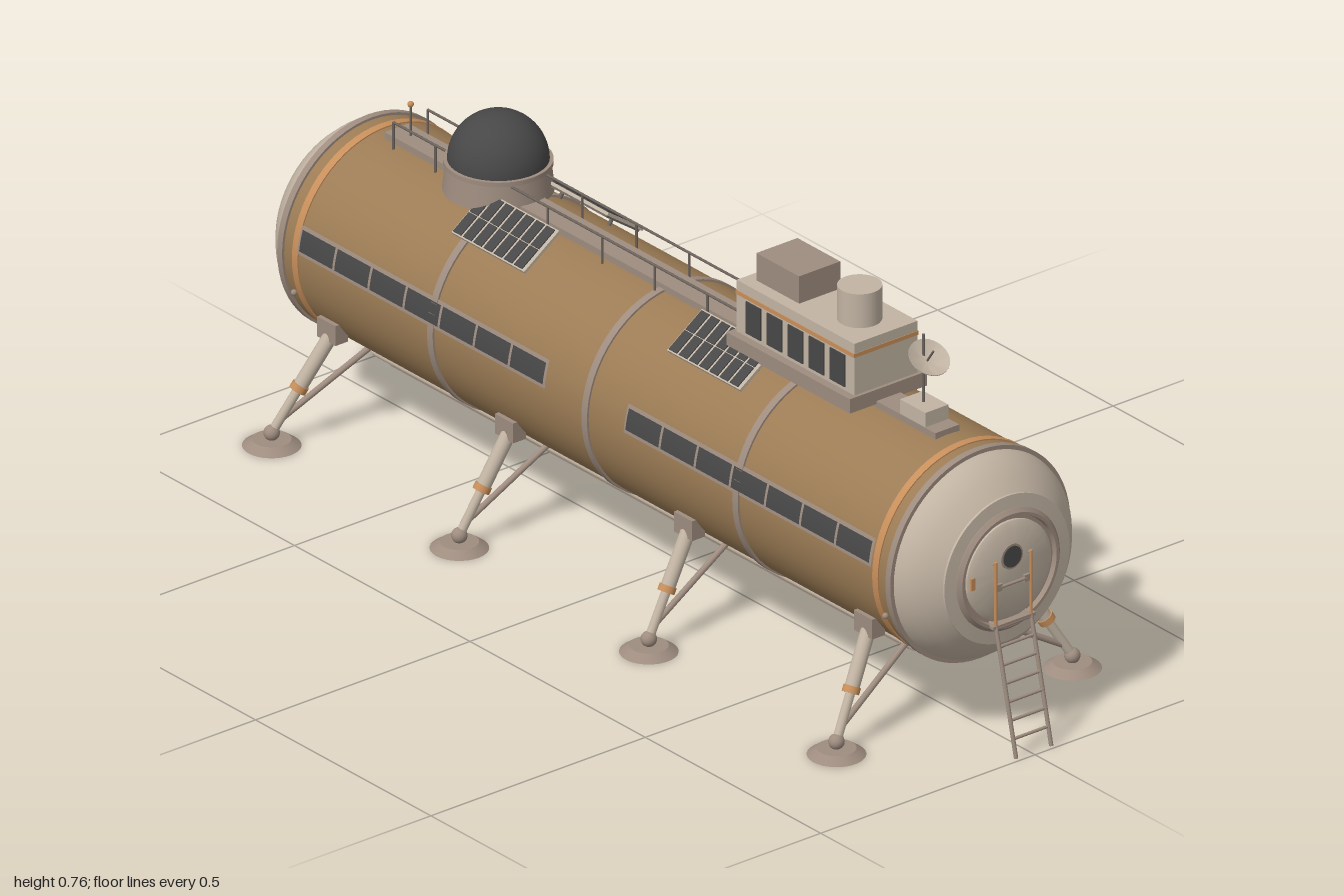
import * as THREE from 'three';
import { toCreasedNormals } from 'three/addons/utils/BufferGeometryUtils.js';

const mat = (name, color) => {
  const m = new THREE.MeshStandardMaterial({ color });
  m.name = name;
  return m;
};

export function createModel() {
  const hull = mat('hull bronze', 0x9c7c55);
  const pale = mat('pale panel', 0xc2b4a3);
  const trim = mat('trim grey', 0x9e8c7f);
  const orange = mat('orange accent', 0xc88f5b);
  const glass = mat('dark glass', 0x484747);
  const rail = mat('rail metal', 0x6d645d);
  const model = new THREE.Group();
  model.name = 'habitatModule';
  const CY = 0.345, CX = -0.03, R = 0.205;

  const add = (parent, name, geo, m, x = 0, y = 0, z = 0) => {
    const mesh = new THREE.Mesh(geo, m);
    mesh.name = name;
    mesh.position.set(x, y, z);
    parent.add(mesh);
    return mesh;
  };
  const group = (name, parent = model) => {
    const g = new THREE.Group();
    g.name = name;
    parent.add(g);
    return g;
  };
  // Box given by its ranges
  const box = (p, name, m, x0, x1, y0, y1, z0, z1) =>
    add(p, name, new THREE.BoxGeometry(x1 - x0, y1 - y0, z1 - z0), m, (x0 + x1) / 2, (y0 + y1) / 2, (z0 + z1) / 2);
  const cyl = (p, name, m, r0, r1, y0, y1, x, z, n = 32) =>
    add(p, name, new THREE.CylinderGeometry(r1, r0, y1 - y0, n), m, x, (y0 + y1) / 2, z);
  // Round bar between two points
  const rod = (p, name, m, a, b, r0, r1 = r0, n = 12) => {
    const A = new THREE.Vector3(...a), B = new THREE.Vector3(...b), d = B.clone().sub(A);
    const mesh = add(p, name, new THREE.CylinderGeometry(r1, r0, d.length(), n), m);
    mesh.position.copy(A).lerp(B, 0.5);
    mesh.quaternion.setFromUnitVectors(new THREE.Vector3(0, 1, 0), d.normalize());
    return mesh;
  };
  // Profile of [radius, distance] turned about y
  const lathe = (pts, n = 64) =>
    toCreasedNormals(new THREE.LatheGeometry(pts.map(p => new THREE.Vector2(...p)), n), 0.6);
  // Drum along x
  const drum = (p, name, m, r, x0, x1) => rod(p, name, m, [x0, CY, 0], [x1, CY, 0], r, r, 64);

  // Pressure hull, frames and accent bands
  const body = group('body');
  drum(body, 'hullCylinder', hull, R, CX - 0.87, CX + 0.87);
  for (const x of [-0.47, CX, 0.4]) drum(body, 'hullFrame', trim, 0.209, x - 0.008, x + 0.008);
  for (const s of [-1, 1]) {
    drum(body, 'endFlange', trim, 0.21, CX + s * 0.867 - 0.007, CX + s * 0.867 + 0.007);
    drum(body, 'accentBand', orange, 0.2075, CX + s * 0.827 - 0.008, CX + s * 0.827 + 0.008);
    for (const z of [-1, 1])
      add(body, 'markerLight', new THREE.SphereGeometry(0.006, 12, 8), trim, CX + s * 0.843, 0.27, z * 0.196);
  }

  // Curved window strips on both flanks
  const windows = group('windowStrips');
  const patch = (name, m, r, x0, x1, elev, span, side) => {
    const centre = side > 0 ? -elev : Math.PI + elev;
    const g = new THREE.CylinderGeometry(r, r, x1 - x0, 8, 1, true, centre - span / 2, span);
    add(windows, name, g.rotateZ(-Math.PI / 2), m, (x0 + x1) / 2, CY, 0);
  };
  for (const side of [-1, 1]) for (const x of [-0.85, 0.08]) {
    patch('windowFrame', trim, 0.2075, x, x + 0.705, 0.21, 0.27, side);
    for (let i = 0; i < 7; i++)
      patch('windowPane', glass, 0.209, x + 0.006 + i * 0.1, x + 0.1 + i * 0.1, 0.21, 0.2, side);
  }

  // Domed ends with round hatches
  for (const s of [-1, 1]) {
    const end = group('endCap');
    end.position.set(CX + s * 0.87, CY, 0);
    if (s < 0) end.rotation.y = Math.PI;
    const turn = (name, pts, m) => add(end, name, lathe(pts), m).rotation.z = -Math.PI / 2;
    turn('endDome', [[0.203, 0], [0.199, 0.016], [0.19, 0.033], [0.172, 0.055], [0.145, 0.076]], pale);
    turn('dockingRing', [[0.146, 0.07], [0.146, 0.08], [0.113, 0.083]], pale);
    turn('hatchCollar', [[0.12, 0.08], [0.12, 0.084], [0.113, 0.091], [0.107, 0.091], [0.105, 0.081], [0.09, 0.081]], trim);
    turn('hatchDoor', [[0.098, 0.08], [0.098, 0.086], [0.086, 0.093], [0, 0.093]], pale);
    const disc = (name, m, r, d, y) => rod(end, name, m, [0.09, y, 0], [d, y, 0], r, r, 32);
    disc('portholeRim', trim, 0.025, 0.095, 0.03);
    disc('portholeGlass', glass, 0.021, 0.0965, 0.03);
    box(end, 'hatchHinge', orange, 0.084, 0.093, -0.012, 0.012, 0.084, 0.093);
    rod(end, 'hatchHandle', trim, [0.097, -0.022, -0.03], [0.097, -0.022, 0.03], 0.003);
    for (const z of [-0.032, 0.032])
      box(end, 'handleMount', trim, 0.088, 0.099, -0.029, -0.015, z - 0.006, z + 0.006);
  }

  // Boarding ladder with grab rails
  const ladder = group('ladder');
  for (const z of [-0.041, 0.041]) {
    rod(ladder, 'grabRail', orange, [0.938, 0.245, z], [0.938, 0.377, z], 0.003);
    for (const y of [0.25, 0.372]) rod(ladder, 'railMount', trim, [0.91, y, z], [0.938, y, z], 0.003);
    rod(ladder, 'ladderRail', trim, [0.938, 0.25, z], [0.996, 0.004, z], 0.004);
  }
  box(ladder, 'ladderStep', trim, 0.91, 0.942, 0.244, 0.25, -0.05, 0.05);
  for (let i = 0; i < 7; i++) {
    const y = 0.04 + i * 0.034, x = 0.996 - (y - 0.004) * 0.236;
    rod(ladder, 'ladderRung', trim, [x, y, -0.041], [x, y, 0.041], 0.003);
  }

  // Landing legs
  const tops = [-0.797, -0.29, 0.22, 0.733], feet = [-0.84, -0.305, 0.235, 0.77];
  for (const s of [-1, 1]) tops.forEach((tx, i) => {
    const leg = group('landingLeg'), fx = feet[i];
    const at = t => [fx + (tx - fx) * t, 0.025 + 0.185 * t, s * (0.275 - 0.107 * t)];
    cyl(leg, 'footPad', trim, 0.054, 0.036, 0, 0.013, fx, s * 0.275);
    add(leg, 'ankleBall', new THREE.SphereGeometry(0.015, 20, 12), trim, fx, 0.025, s * 0.275);
    rod(leg, 'lowerStrut', pale, at(0), at(0.48), 0.009);
    rod(leg, 'strutCollar', orange, at(0.42), at(0.48), 0.0165, 0.0165, 20);
    rod(leg, 'upperStrut', pale, at(0.45), at(1), 0.014, 0.014, 20);
    box(leg, 'legBracket', trim, tx - 0.026, tx + 0.026, 0.197, 0.237, s * 0.168 - 0.015, s * 0.168 + 0.015);
    rod(leg, 'legBrace', trim, at(0.12), [tx, 0.155, s * 0.075], 0.006);
  });

  // Keel and service pipes
  const keel = group('keel');
  box(keel, 'keelBeam', trim, -0.77, 0.705, 0.117, 0.15, -0.055, 0.055);
  for (let i = 0; i < 10; i++)
    box(keel, 'keelPlate', trim, -0.74 + i * 0.148, -0.66 + i * 0.148, 0.109, 0.118, -0.045, 0.045);
  rod(keel, 'waterPipe', pale, [-0.8, 0.138, 0.066], [0.74, 0.138, 0.066], 0.008);
  rod(keel, 'fuelPipe', orange, [-0.8, 0.138, -0.066], [0.74, 0.138, -0.066], 0.008);

  // Roof walkway and handrails
  const roof = group('roofWalkway');
  box(roof, 'walkway', trim, -0.82, 0.75, 0.54, 0.561, -0.028, 0.028);
  for (const z of [-0.04, 0.04]) {
    rod(roof, 'handrail', rail, [-0.78, 0.6, z], [0.24, 0.6, z], 0.0025, 0.0025, 8);
    for (const x of [-0.78, -0.66, -0.34, -0.185, -0.035, 0.115, 0.235])
      rod(roof, 'railPost', rail, [x, 0.54, z], [x, 0.6, z], 0.0025, 0.0025, 8);
  }
  rod(roof, 'beaconMast', rail, [-0.78, 0.55, 0], [-0.78, 0.622, 0], 0.0025);
  add(roof, 'beacon', new THREE.SphereGeometry(0.006, 12, 8), orange, -0.78, 0.624, 0);

  // Observation dome
  const dome = group('observationDome');
  cyl(dome, 'domeCollar', trim, 0.102, 0.096, 0.553, 0.606, -0.53, 0, 48);
  cyl(dome, 'domeRing', trim, 0.1, 0.1, 0.603, 0.612, -0.53, 0, 48);
  add(dome, 'domeGlass', new THREE.SphereGeometry(0.093, 48, 16, 0, Math.PI * 2, 0, Math.PI / 2), glass, -0.53, 0.611, 0);

  // Tilted solar panels
  for (const x of [-0.39, 0.225]) for (const s of [-1, 1]) {
    const panel = group('solarPanel');
    panel.position.set(x, 0.547, s * 0.097);
    panel.rotation.x = s * 0.61;
    box(panel, 'panelFrame', pale, -0.104, 0.104, -0.003, 0.003, -0.05, 0.05);
    box(panel, 'panelBack', rail, -0.1, 0.1, -0.007, -0.003, -0.047, 0.047);
    for (let i = 0; i < 7; i++) for (const z of [-0.024, 0.024])
      box(panel, 'solarCell', glass, -0.101 + i * 0.029, -0.073 + i * 0.029 - 0.005, 0.003, 0.005, z - 0.023, z + 0.023);
    for (const px of [-0.07, 0.07]) rod(panel, 'panelStrut', rail, [px, -0.03, 0], [px, -0.004, 0], 0.004);
  }

  // Roof cabin
  const cabin = group('roofCabin');
  box(cabin, 'cabinPlinth', trim, 0.23, 0.582, 0.555, 0.584, -0.09, 0.09);
  box(cabin, 'cabinWalls', pale, 0.24, 0.575, 0.58, 0.688, -0.074, 0.074);
  box(cabin, 'cabinStripe', orange, 0.239, 0.576, 0.66, 0.668, -0.0755, 0.0755);
  for (let i = 0; i < 5; i++) {
    const x = 0.268 + i * 0.06;
    box(cabin, 'cabinWindow', glass, x, x + 0.042, 0.592, 0.656, 0.07, 0.0765);
  }
  box(cabin, 'equipmentBox', trim, 0.264, 0.386, 0.685, 0.743, -0.048, 0.048);
  cyl(cabin, 'ventStack', pale, 0.041, 0.041, 0.685, 0.756, 0.5, 0);

  // Dish antenna
  const antenna = group('dishAntenna');
  box(antenna, 'antennaBase', pale, 0.648, 0.72, 0.55, 0.59, -0.027, 0.027);
  rod(antenna, 'antennaMast', rail, [0.682, 0.58, 0], [0.682, 0.726, 0], 0.003);
  const dish = add(antenna, 'dish', lathe([[0, -0.004], [0.02, -0.001], [0.04, 0.009], [0.04, 0.011], [0.02, 0.002], [0, -0.001]], 32), pale, 0.693, 0.677, 0);
  dish.rotation.z = -0.58;
  rod(antenna, 'dishFeed', rail, [0.693, 0.677, 0], [0.71, 0.702, 0], 0.002);

  return model;
}
